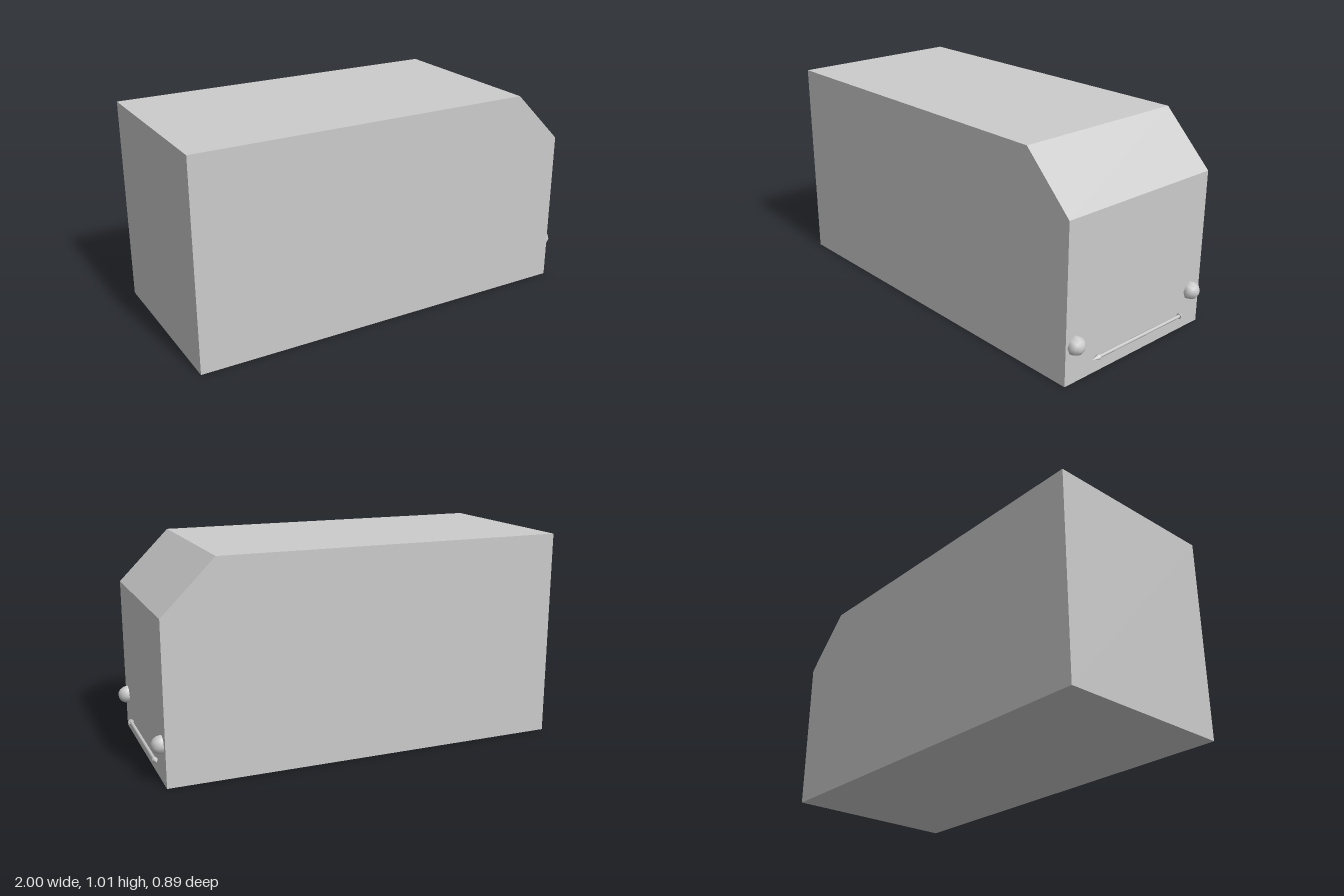
import * as THREE from 'three';

const material = new THREE.MeshStandardMaterial({ color: 0xcccccc });

function addMesh(parent, name, geometry, x = 0, y = 0, z = 0) {
  const mesh = new THREE.Mesh(geometry, material);
  mesh.name = name;
  mesh.position.set(x, y, z);
  parent.add(mesh);
  return mesh;
}

export function createModel() {
  const model = new THREE.Group();
  model.name = 'model';

  // Long box with a sloped upper edge at the +x end
  const profile = new THREE.Shape([
    [-1, 0], [0.95, 0], [0.95, 0.76], [0.7, 1.01], [-1, 1.01],
  ].map(([x, y]) => new THREE.Vector2(x, y)));
  const body = new THREE.ExtrudeGeometry(profile, { depth: 0.89, bevelEnabled: false });
  addMesh(model, 'body', body, 0, 0, -0.445);

  // Round lamps half sunk into the end face, poles along x
  const lamp = new THREE.SphereGeometry(0.045, 8, 8).rotateZ(-Math.PI / 2);
  addMesh(model, 'leftLamp', lamp, 0.954, 0.183, -0.378);
  addMesh(model, 'rightLamp', lamp, 0.954, 0.183, 0.39);

  // Thin rod with a pointed tip at each end
  const bumper = new THREE.Group();
  bumper.name = 'bumper';
  bumper.position.set(0.966, 0.08, 0);
  model.add(bumper);
  const rod = new THREE.CylinderGeometry(0.008, 0.008, 0.55, 8).rotateX(Math.PI / 2);
  addMesh(bumper, 'rod', rod, 0, 0, -0.018);
  const frontTip = new THREE.ConeGeometry(0.014, 0.042, 8).rotateX(Math.PI / 2);
  addMesh(bumper, 'frontTip', frontTip, 0, 0, 0.276);
  const backTip = new THREE.ConeGeometry(0.014, 0.032, 8).rotateX(-Math.PI / 2);
  addMesh(bumper, 'backTip', backTip, 0, 0, -0.306);

  return model;
}
